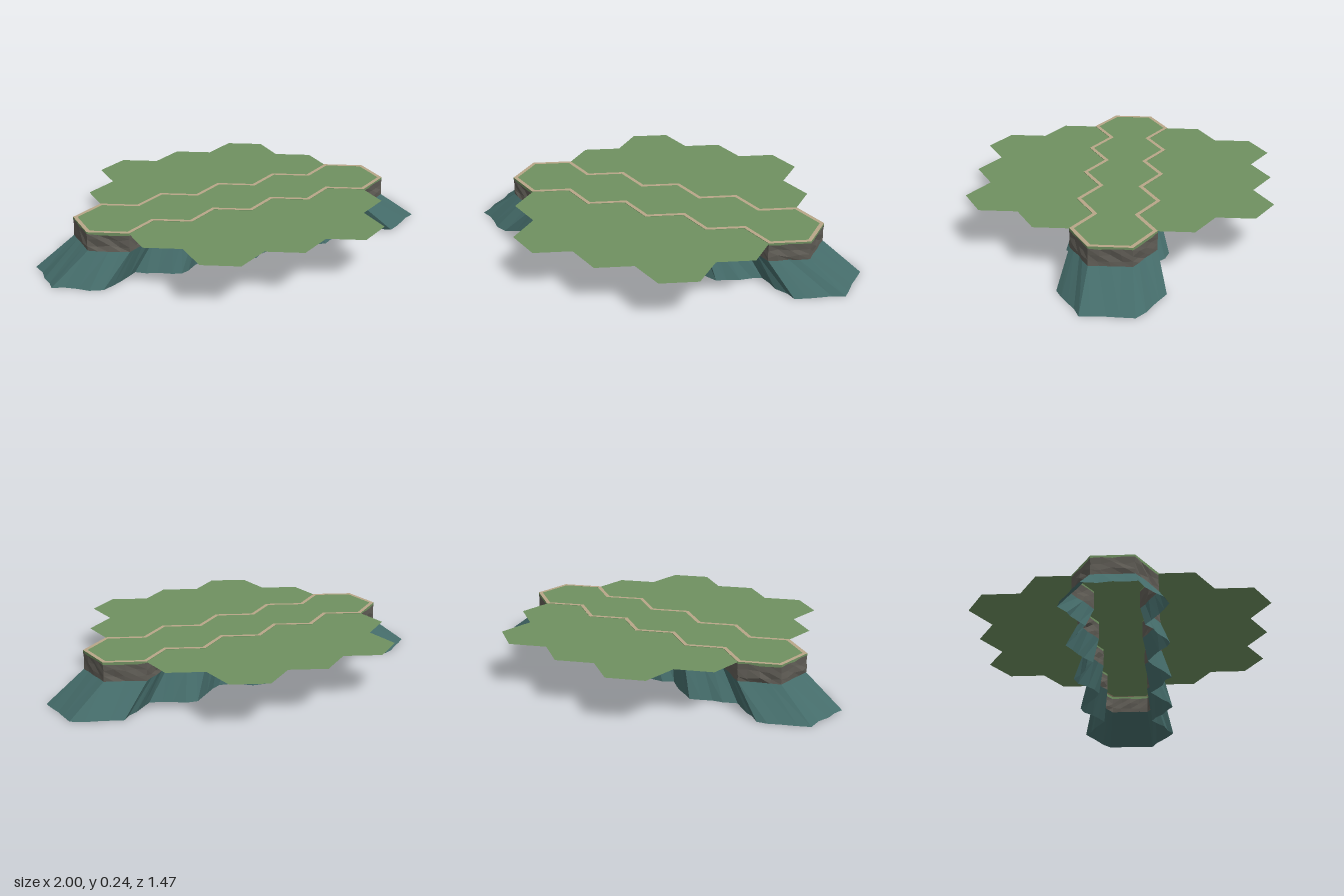
import * as THREE from 'three';

const R = 0.1835;              // hex corner radius
const W = R * Math.sqrt(3);    // spacing between hexes in a row
const TOP = 0.236;
const SEGMENTS = 4;            // rock facets per hex edge

const material = (name, color, flatShading = false) => {
  const m = new THREE.MeshStandardMaterial({ color, flatShading, side: THREE.DoubleSide });
  m.name = name;
  return m;
};

// Small seeded generator for the rough rock
function seeded(seed) {
  return () => {
    seed = (seed * 16807) % 2147483647;
    return seed / 2147483647 * 2 - 1;
  };
}

// Outline of the middle row of five hexes, grown outward by d
function outline(d) {
  const miter = d / Math.cos(Math.PI / 6);
  const end = 2.5 * W + d;
  const side = R / 2 + miter / 2;
  const half = [[end, side]];
  for (let i = 0; i < 5; i++) {
    half.push([(2 - i) * W, R + miter]);
    if (i < 4) half.push([(1.5 - i) * W, R / 2 + miter]);
  }
  half.push([-end, side]);
  const back = half.map(([x, z]) => [-x, -z]);
  return [...half, ...back].map(([x, z]) => new THREE.Vector2(x, z));
}

// Cut every edge of a closed outline into equal pieces
function subdivide(points) {
  return points.flatMap((p, i) => {
    const next = points[(i + 1) % points.length];
    return Array.from({ length: SEGMENTS }, (_, k) => p.clone().lerp(next, k / SEGMENTS));
  });
}

// Horizontal ring of points, scaled from the centre and roughened
function ring(base, y, scale, rough, random, lift = 0) {
  return base.map((p, i) => {
    const corner = i % SEGMENTS === 0;
    const r = corner ? rough * 0.25 : rough;
    const x = p.x * scale + random() * r;
    const z = p.y * scale + random() * r;
    return new THREE.Vector3(THREE.MathUtils.clamp(x, -1, 1), y + random() * lift, z);
  });
}

// Join closed rings, listed from top to bottom, with outward faces
function loft(rings) {
  const positions = [];
  for (let r = 0; r < rings.length - 1; r++) {
    const upper = rings[r], lower = rings[r + 1], n = upper.length;
    for (let i = 0; i < n; i++) {
      const j = (i + 1) % n;
      for (const v of [lower[i], upper[i], upper[j], lower[i], upper[j], lower[j]]) {
        positions.push(v.x, v.y, v.z);
      }
    }
  }
  const geometry = new THREE.BufferGeometry();
  geometry.setAttribute('position', new THREE.Float32BufferAttribute(positions, 3));
  geometry.computeVertexNormals();
  return geometry;
}

export function createModel() {
  const group = new THREE.Group();
  const grass = material('grass green', 0x6f9060);
  const sand = material('sand border', 0xb8a688);
  const rock = material('grey rock', 0x5f5c55, true);
  const slope = material('teal slope', 0x446b69, true);

  const add = (name, geometry, mat, parent = group) => {
    const mesh = new THREE.Mesh(geometry, mat);
    mesh.name = name;
    parent.add(mesh);
    return mesh;
  };

  // Flat hex tiles in rows of 3, 4, 5, 4, 3
  const tiles = new THREE.Group();
  tiles.name = 'grassTiles';
  group.add(tiles);
  const hex = new THREE.CircleGeometry(R, 6, Math.PI / 6).rotateX(-Math.PI / 2);
  for (let row = -2; row <= 2; row++) {
    const count = 5 - Math.abs(row);
    for (let i = 0; i < count; i++) {
      add('grassTile', hex, grass, tiles)
        .position.set((i - (count - 1) / 2) * W, TOP, row * 1.5 * R);
    }
  }

  // Sand border around the middle row
  const border = new THREE.Shape(outline(0.014));
  border.holes.push(new THREE.Path(outline(-0.005)));
  add('sandBorder', new THREE.ShapeGeometry(border).rotateX(-Math.PI / 2), sand)
    .position.y = TOP + 0.002;

  // Grass lip, rock wall and flared slope share their rings
  const random = seeded(4127);
  const base = subdivide(outline(0.014));
  const rim = ring(base, TOP + 0.002, 1, 0, random);
  const lip = ring(base, 0.227, 1, 0, random, 0.004);
  const upperRock = ring(base, 0.198, 0.997, 0.005, random, 0.008);
  const lowerRock = ring(base, 0.166, 1, 0.008, random, 0.008);
  const foot = ring(base, 0.143, 1, 0.005, random);
  const ground = ring(base, 0, 1 / (2.5 * W + 0.014), 0.012, random);
  add('grassLip', loft([rim, lip]), grass);
  add('rockWall', loft([lip, upperRock, lowerRock, foot]), rock);
  add('flaredSlope', loft([foot, ground]), slope);

  return group;
}
